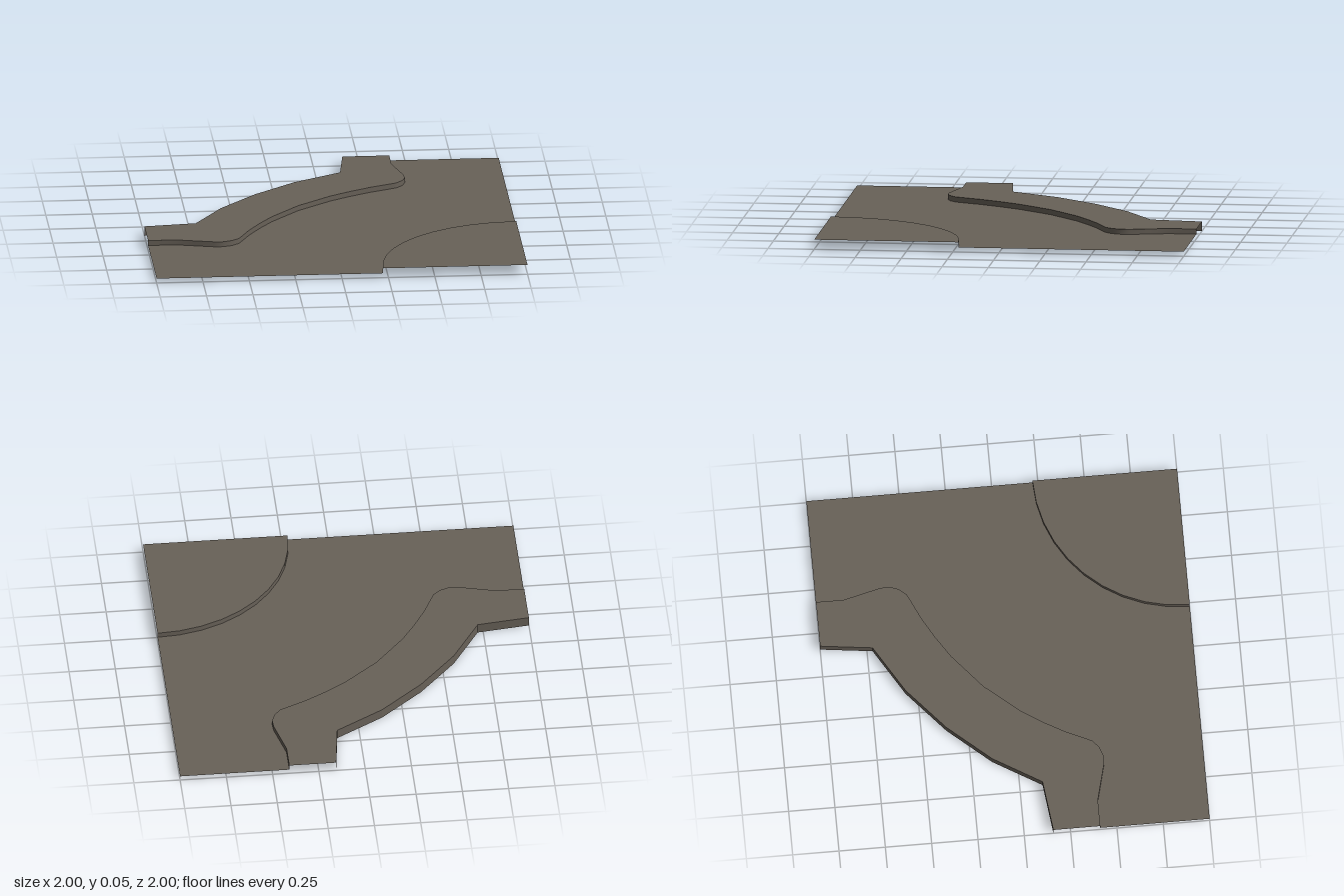
import * as THREE from 'three';

const ROAD_Y = 0.025, TOP_Y = 0.053;

// Mirrors half of an [x, z] line across the diagonal x = z
const mirrorDiagonal = (half) => [...half, ...half.filter(([x, z]) => x !== z).reverse().map(([x, z]) => [z, x])];

// Horizontal sheet facing up
function sheet(name, points, y, material) {
  const shape = new THREE.Shape(points.map(([x, z]) => new THREE.Vector2(x, -z)));
  const geometry = new THREE.ShapeGeometry(shape).rotateX(-Math.PI / 2).translate(0, y, 0);
  const mesh = new THREE.Mesh(geometry, material);
  mesh.name = name;
  return mesh;
}

// Upright strip along a line, facing to the right of its direction
function wall(name, points, bottom, top, material, flat = false) {
  const n = points.length;
  let geometry = new THREE.PlaneGeometry(1, 1, n - 1, 1);
  const pos = geometry.attributes.position;
  for (let i = 0; i < pos.count; i++) {
    const [x, z] = points[i % n];
    pos.setXYZ(i, x, i < n ? top : bottom, z);
  }
  if (flat) geometry = geometry.toNonIndexed();
  geometry.computeVertexNormals();
  const mesh = new THREE.Mesh(geometry, material);
  mesh.name = name;
  return mesh;
}

export function createModel() {
  const group = new THREE.Group();
  group.name = 'roadCorner';
  const asphalt = new THREE.MeshStandardMaterial({ color: 0x686158, side: THREE.DoubleSide });
  asphalt.name = 'asphalt';

  // Outer curb line, from the back edge round to the side edge
  const curb = mirrorDiagonal([
    [0.41, -1], [0.41, -0.85], [0.435, -0.75], [0.46, -0.65], [0.463, -0.6], [0.445, -0.55],
    [0.41, -0.51], [0.39, -0.5], [0.27, -0.445], [0.155, -0.38], [0.04, -0.305], [-0.147, -0.147],
  ]);
  // Faceted outer rim of the pavement
  const rim = mirrorDiagonal([[0.157, -1], [0.123, -0.72], [-0.135, -0.565], [-0.365, -0.365]]);
  // Quarter circle round the inner corner
  const arc = [];
  for (let i = 0; i <= 10; i++) {
    const a = (i / 10) * Math.PI / 2;
    arc.push([1 - 0.78 * Math.sin(a), 1 - 0.78 * Math.cos(a)]);
  }

  // Horizontal surfaces
  group.add(
    sheet('road', [...curb, [-1, 1], ...[...arc].reverse(), [1, -1]], ROAD_Y, asphalt),
    sheet('outerPavement', [...curb, ...[...rim].reverse()], TOP_Y, asphalt),
    sheet('innerPavement', [...arc, [1, 1]], TOP_Y, asphalt),
  );

  // Upright curbs and rim
  group.add(
    wall('outerCurb', [...curb].reverse(), ROAD_Y, TOP_Y, asphalt),
    wall('innerCurb', arc, ROAD_Y, TOP_Y, asphalt),
    wall('outerRim', rim, 0, TOP_Y, asphalt, true),
  );
  return group;
}
